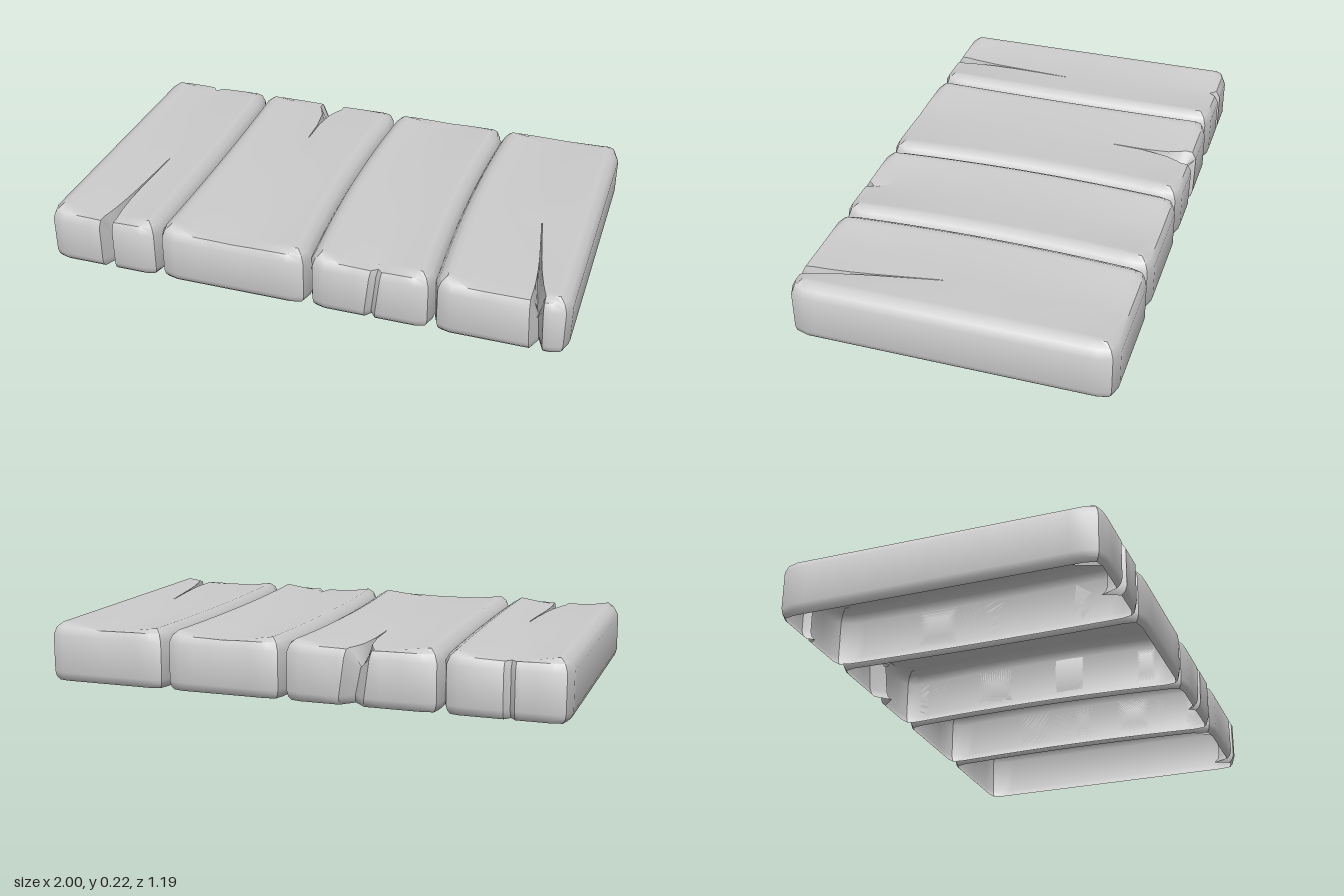
import * as THREE from 'three';
import { toCreasedNormals } from 'three/addons/utils/BufferGeometryUtils.js';

const TOP = 0.225, HALF = 0.595, INSET = 0.045;
// rim rings from the top face down: [inset from the outer wall, height]
const RINGS = [[0.016, 0.208], [0, 0.178], [0, 0.035], [0.006, 0.014], [0.02, 0]];
const ROWS = [-1, -0.96, -0.88, -0.7, -0.47, -0.2, 0, 0.14, 0.35, 0.6, 0.75, 0.88, 0.96, 1];
const COLS = [0, 0.05, 0.2, 0.35, 0.5, 0.65, 0.8, 0.95, 1];

// plank seams: x at the ends and sideways bow at mid length
const SEAMS = [[-1, 0], [-0.55, 0.01], [0.048, -0.028], [0.515, -0.025], [1, 0]];

// one split per plank: end is the side (+1 front, -1 back) it opens to
const CRACKS = [
  { end: 1, tip: 0.08, xEnd: -0.755, xTip: -0.72, xFar: -0.79, w: 0.024, depth: 0.1, notch: 0.06, notchFar: 0.025, lean: 0 },
  { end: -1, tip: 0.28, xEnd: -0.25, xTip: -0.25, xFar: -0.25, w: 0.045, depth: 0.07, notch: 0.05, notchFar: 0, lean: 0.03 },
  { end: 1, tip: 0.5, xEnd: 0.305, xTip: 0.29, xFar: 0.28, w: 0.018, depth: 0.005, notch: 0.025, notchFar: 0, lean: -0.025 },
  { end: 1, tip: 0.08, xEnd: 0.88, xTip: 0.8, xFar: 0.78, w: 0.022, depth: 0.1, notch: 0.06, notchFar: 0, lean: 0.01 },
];

const lerp = THREE.MathUtils.lerp;
const seamX = ([x, bow], z) => x + bow * (1 - (z / HALF) ** 2);

function plankGeometry(left, right, c) {
  const zCap = HALF - INSET;
  const x0 = left[0] + INSET, x1 = right[0] - INSET;

  // progress along the split (0 at its tip, 1 at the open end) and on the far side
  const open = z => Math.max(0, (z * c.end - c.tip) / (zCap - c.tip));
  const far = z => Math.max(0, (c.tip - z * c.end) / (c.tip + zCap));
  const crackX = z => open(z) > 0 ? lerp(c.xTip, c.xEnd, open(z)) : lerp(c.xTip, c.xFar, far(z));
  const crackW = z => 0.002 + c.w * open(z) ** 4 + (c.notchFar ? 0.018 : 0) * far(z) ** 12;

  // columns across the plank, leaving room for the three split columns
  const lo = Math.min(c.xEnd, c.xTip, c.xFar) - c.w - 0.012;
  const hi = Math.max(c.xEnd, c.xTip, c.xFar) + c.w + 0.012;
  const columns = [];
  const addPlain = f => columns.push({
    x: z => lerp(seamX(left, z) + INSET, seamX(right, z) - INSET, f), core: false });
  COLS.filter(f => lerp(x0, x1, f) < lo).forEach(addPlain);
  for (const s of [-1, 0, 1]) columns.push({ x: z => crackX(z) + s * crackW(z), core: s === 0 });
  COLS.filter(f => lerp(x0, x1, f) > hi).forEach(addPlain);

  const nC = columns.length, nR = ROWS.length;
  const pos = [], index = [];

  // worn, slightly hollow top face
  for (let j = 0; j < nR; j++) for (let i = 0; i < nC; i++) {
    const z = ROWS[j] * zCap, x = columns[i].x(z);
    const f = THREE.MathUtils.clamp((x - seamX(left, z) - INSET) / (x1 - x0), 0, 1);
    const sag = (0.009 + 0.011 * ROWS[j] ** 2) * Math.sin(Math.PI * f);
    pos.push(x, TOP - sag - (columns[i].core ? c.depth * open(z) : 0), z);
  }
  for (let j = 0; j < nR - 1; j++) for (let i = 0; i < nC - 1; i++) {
    const a = j * nC + i, b = a + nC;
    index.push(a, b, b + 1, a, b + 1, a + 1);
  }

  // boundary loop of the top face
  const loop = [];
  for (let j = 0; j < nR - 1; j++) loop.push([0, j]);
  for (let i = 0; i < nC - 1; i++) loop.push([i, nR - 1]);
  for (let j = nR - 1; j > 0; j--) loop.push([nC - 1, j]);
  for (let i = nC - 1; i > 0; i--) loop.push([i, 0]);

  // rounded rim and walls, open underneath
  let previous = loop.map(([i, j]) => j * nC + i);
  for (const [inset, height] of RINGS) {
    const ring = loop.map(([i, j], k) => {
      const id = (j * nC + i) * 3;
      const sx = i === 0 ? -1 : i === nC - 1 ? 1 : 0;
      const sz = j === 0 ? -1 : j === nR - 1 ? 1 : 0;
      const out = (INSET - inset) * (sx && sz ? 0.62 : 1);
      let x = pos[id] + sx * out, z = pos[id + 2] + sz * out;
      const y = Math.min(height, pos[id + 1] - 0.002 * (TOP - height) / TOP);
      const isSplit = !sx && sz && Math.abs(pos[id] - crackX(pos[id + 2])) <= crackW(pos[id + 2]) + 1e-5;
      if (isSplit && sz === c.end) x += c.lean * (1 - height / TOP);
      if (columns[i].core) z -= sz * (sz === c.end ? c.notch : c.notchFar);
      pos.push(x, y, z);
      return pos.length / 3 - 1;
    });
    ring.forEach((p, k) => {
      const n = (k + 1) % ring.length;
      index.push(previous[k], p, ring[n], previous[k], ring[n], previous[n]);
    });
    previous = ring;
  }

  const geometry = new THREE.BufferGeometry();
  geometry.setAttribute('position', new THREE.Float32BufferAttribute(pos, 3));
  geometry.setIndex(index);
  return toCreasedNormals(geometry, 0.7);
}

export function createModel() {
  const group = new THREE.Group();
  group.name = 'plankSlab';
  const material = new THREE.MeshStandardMaterial({ color: 0xcccccc, side: THREE.DoubleSide });
  CRACKS.forEach((crack, i) => {
    const plank = new THREE.Mesh(plankGeometry(SEAMS[i], SEAMS[i + 1], crack), material);
    plank.name = `plank${i + 1}`;
    group.add(plank);
  });
  return group;
}
